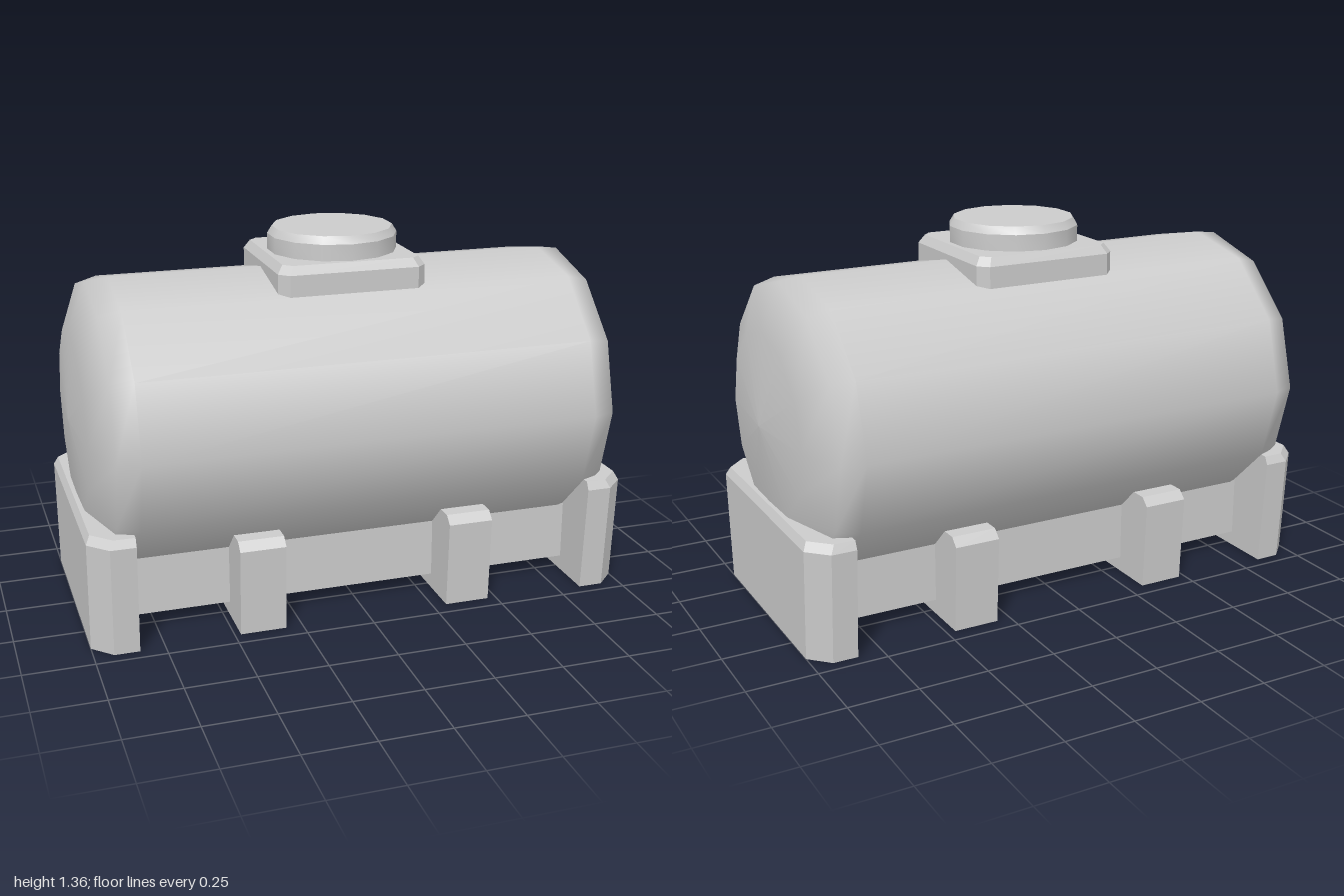
import * as THREE from 'three';
import { toCreasedNormals } from 'three/addons/utils/BufferGeometryUtils.js';

// Faceted shell through stacked rings [y, [[x, z], ...]], closed on top, open below
function loft(rings) {
  const pos = [];
  const put = (y, p) => pos.push(p[0], y, p[1]);
  for (let k = 0; k < rings.length - 1; k++) {
    const [y0, a] = rings[k], [y1, b] = rings[k + 1];
    for (let i = 0; i < a.length; i++) {
      const j = (i + 1) % a.length;
      put(y0, a[i]); put(y0, a[j]); put(y1, b[j]);
      put(y0, a[i]); put(y1, b[j]); put(y1, b[i]);
    }
  }
  const [yt, top] = rings[rings.length - 1];
  for (let i = 1; i < top.length - 1; i++) {
    put(yt, top[0]); put(yt, top[i]); put(yt, top[i + 1]);
  }
  const g = new THREE.BufferGeometry();
  g.setAttribute('position', new THREE.Float32BufferAttribute(pos, 3));
  g.computeVertexNormals();
  return g;
}

// Plan outlines, counter-clockwise from above
const rect = (w, d) => [[-w, d], [w, d], [w, -d], [-w, -d]];
const cutRect = (w, d, c) => [
  [-w + c, d], [w - c, d], [w, d - c], [w, -d + c],
  [w - c, -d], [-w + c, -d], [-w, -d + c], [-w, d - c],
];
const endPlan = (x, z) => [
  [0.84, z], [x - 0.07, z], [x, z - 0.07],
  [x, -z + 0.07], [x - 0.07, -z], [0.84, -z],
];

export function createModel() {
  const group = new THREE.Group();
  const smooth = new THREE.MeshStandardMaterial({ color: 0xcccccc });
  const flat = new THREE.MeshStandardMaterial({
    color: 0xcccccc, flatShading: true, side: THREE.DoubleSide,
  });
  const add = (name, geometry, material = flat) => {
    const mesh = new THREE.Mesh(geometry, material);
    mesh.name = name;
    group.add(mesh);
    return mesh;
  };

  // Twelve-sided tank lying along x, with domed ends
  const profile = [
    [0, -0.985], [0.34, -0.967], [0.515, -0.9], [0.54, -0.82],
    [0.54, 0.82], [0.515, 0.9], [0.34, 0.967], [0, 0.995],
  ].map(([r, x]) => new THREE.Vector2(r, x));
  const tank = new THREE.LatheGeometry(profile, 12);
  tank.rotateZ(-Math.PI / 2).scale(1, 0.97, 1);
  const p = tank.attributes.position;
  for (let i = 0; i < p.count; i++) {
    p.setY(i, THREE.MathUtils.clamp(p.getY(i), -0.51, 0.51));
  }
  tank.translate(0, 0.71, 0);
  add('tank', tank, smooth);

  // Square hatch base with cut corners and bevelled top
  add('hatchBase', loft([
    [1.15, cutRect(0.27, 0.27, 0.035)],
    [1.24, cutRect(0.27, 0.27, 0.035)],
    [1.27, cutRect(0.25, 0.25, 0.03)],
  ]));

  // Round lid
  const lid = new THREE.LatheGeometry([
    [0.235, 1.26], [0.235, 1.328], [0.218, 1.355], [0, 1.355],
  ].map(([r, y]) => new THREE.Vector2(r, y)), 14);
  add('hatchLid', toCreasedNormals(lid, 0.5), smooth);

  // Tapered end supports
  for (const side of [1, -1]) {
    const end = add('endSupport', loft([
      [0, endPlan(1, 0.455)],
      [0.4, endPlan(1, 0.48)],
      [0.43, endPlan(0.985, 0.465)],
    ]));
    if (side < 0) end.rotation.y = Math.PI;
  }

  // Middle cradle legs
  for (const x of [-0.395, 0.385]) {
    add('cradleLeg', loft([
      [0, rect(0.083, 0.44)],
      [0.32, rect(0.083, 0.455)],
      [0.35, rect(0.083, 0.425)],
    ])).position.x = x;
  }

  // Long side rails under the tank
  for (const z of [-0.285, 0.285]) {
    const rail = new THREE.PlaneGeometry(1.72, 0.22);
    if (z < 0) rail.rotateY(Math.PI);
    add('sideRail', rail.translate(0, 0.165, z));
  }
  return group;
}
